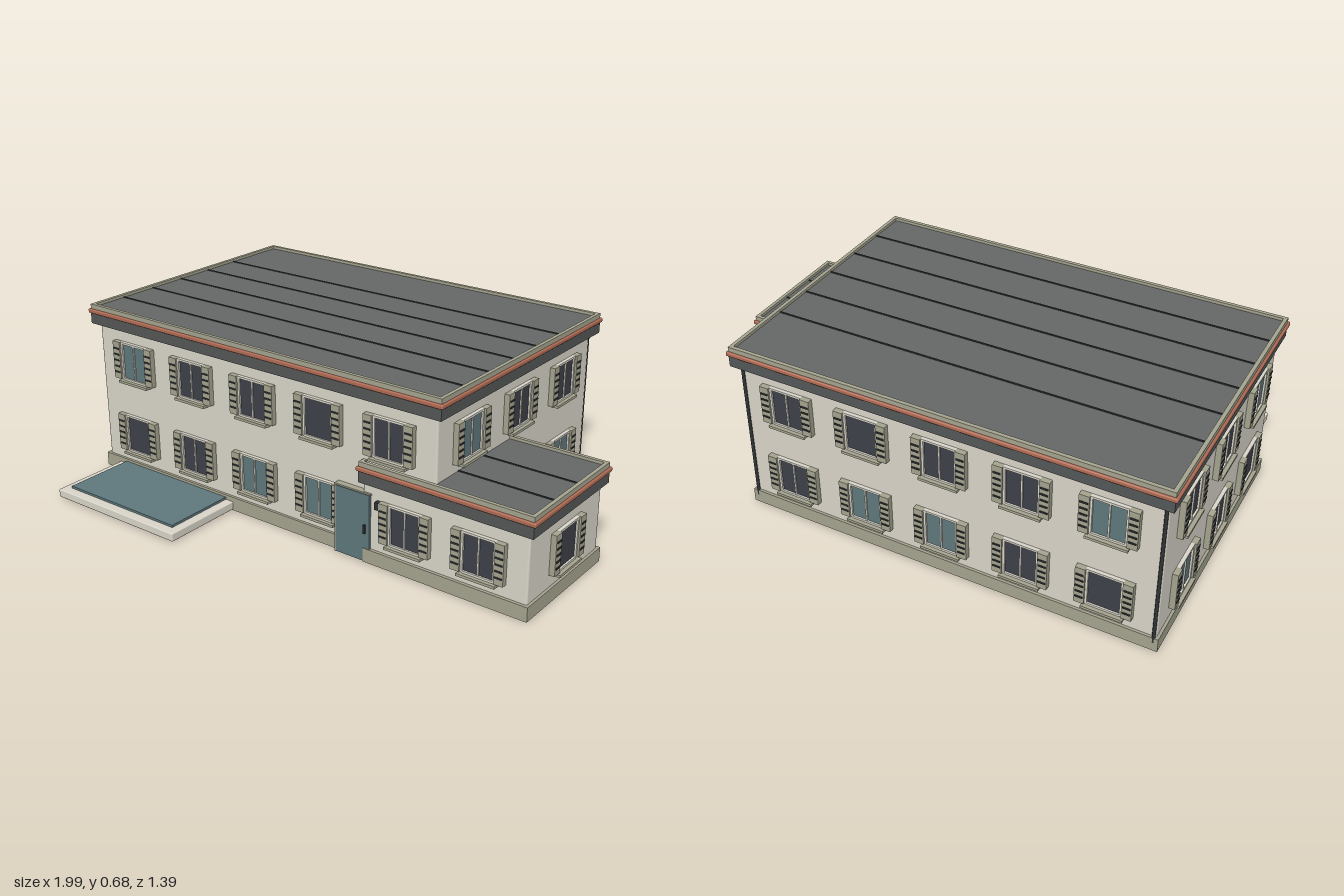
import * as THREE from 'three';
import { RoundedBoxGeometry } from 'three/addons/geometries/RoundedBoxGeometry.js';

const mat = (name, color) => {
  const m = new THREE.MeshStandardMaterial({ color });
  m.name = name;
  return m;
};

export function createModel() {
  const M = {
    wall: mat('plaster', 0xdad6ca),
    khaki: mat('khaki trim', 0xa6a590),
    roof: mat('slate grey', 0x656866),
    fascia: mat('fascia grey', 0x555858),
    clay: mat('terracotta', 0xb06b54),
    teal: mat('teal', 0x5f787c),
    glass: mat('dark glass', 0x3d4049),
    dark: mat('charcoal', 0x303335),
  };
  const model = new THREE.Group();
  model.name = 'house';

  const add = (parent, name, geometry, material) => {
    const mesh = new THREE.Mesh(geometry, material);
    mesh.name = name;
    parent.add(mesh);
    return mesh;
  };
  // Box given by its limits; r rounds the edges
  const box = (parent, name, material, x0, x1, y0, y1, z0, z1, r = 0) => {
    const size = [x1 - x0, y1 - y0, z1 - z0];
    const g = r ? new RoundedBoxGeometry(...size, 2, r) : new THREE.BoxGeometry(...size);
    const mesh = add(parent, name, g, material);
    mesh.position.set((x0 + x1) / 2, (y0 + y1) / 2, (z0 + z1) / 2);
  };
  const group = (name) => {
    const g = new THREE.Group();
    g.name = name;
    model.add(g);
    return g;
  };

  // Flat roof: fascia, terracotta band, raised rim and seams
  const roof = (name, x0, x1, z0, z1, y, seams) => {
    const g = group(name);
    box(g, 'fascia', M.fascia, x0 + 0.008, x1 - 0.008, y, y + 0.045, z0 + 0.006, z1 - 0.006);
    box(g, 'terracottaBand', M.clay, x0, x1, y + 0.042, y + 0.059, z0, z1, 0.005);
    const a = x0 + 0.008, b = x1 - 0.008, c = z0 + 0.008, d = z1 - 0.008, t = 0.014;
    box(g, 'deck', M.roof, a + 0.005, b - 0.005, y + 0.05, y + 0.066, c + 0.005, d - 0.005);
    for (const [p, q] of [[c, c + t], [d - t, d]])
      box(g, 'rim', M.khaki, a, b, y + 0.055, y + 0.077, p, q);
    for (const [p, q] of [[a, a + t], [b - t, b]])
      box(g, 'rim', M.khaki, p, q, y + 0.055, y + 0.077, c + t, d - t);
    for (const z of seams)
      box(g, 'roofSeam', M.dark, a + t, b - t, y + 0.064, y + 0.069, z - 0.003, z + 0.003);
  };

  // Shuttered window, its centre at wall level, facing +z before turning
  const windowAt = (x, y, z, turn, pane, plain) => {
    const g = group('window');
    box(g, 'pane', pane, -0.058, 0.058, -0.07, 0.07, 0, 0.007);
    for (const s of [-1, 1]) {
      const cx = s * 0.061;
      box(g, 'frameSide', M.wall, cx - 0.004, cx + 0.004, -0.075, 0.077, 0, 0.014);
      box(g, 'frameRail', M.wall, -0.057, 0.057, s * 0.073 - 0.004, s * 0.073 + 0.004, 0, 0.014);
      // Shutter with thin dark louvre lines
      const sx = s * 0.083;
      box(g, 'shutter', M.khaki, sx - 0.018, sx + 0.018, -0.073, 0.077, 0, 0.021);
      for (let i = 0; i < 5; i++) {
        const sy = -0.046 + i * 0.024;
        box(g, 'louvre', M.dark, sx - 0.014, sx + 0.014, sy - 0.003, sy + 0.003, 0.019, 0.024);
      }
    }
    if (!plain) box(g, 'mullion', M.wall, -0.003, 0.003, -0.07, 0.07, 0.004, 0.012);
    box(g, 'sill', M.khaki, -0.074, 0.074, -0.087, -0.077, 0, 0.028);
    g.position.set(x, y, z);
    g.rotation.y = turn;
  };

  // Foundation slab, plinth and walls
  box(model, 'mainSlab', M.wall, -0.979, 0.609, 0, 0.004, -0.674, 0.374);
  box(model, 'annexSlab', M.wall, 0.609, 0.974, 0, 0.004, -0.104, 0.394);
  box(model, 'mainPlinth', M.khaki, -0.98, 0.61, 0.002, 0.055, -0.675, 0.375);
  box(model, 'annexPlinth', M.khaki, 0.322, 0.975, 0.002, 0.055, -0.105, 0.395);
  box(model, 'mainWalls', M.wall, -0.97, 0.6, 0.03, 0.615, -0.665, 0.365, 0.008);
  box(model, 'annexWalls', M.wall, 0.315, 0.965, 0.03, 0.315, -0.095, 0.383, 0.008);

  roof('mainRoof', -1, 0.635, -0.698, 0.396, 0.605, [-0.41, -0.25, -0.09, 0.07, 0.228]);
  roof('annexRoof', 0.295, 0.99, -0.12, 0.402, 0.302, [0.08, 0.235]);

  // Windows: some panes are teal, in the same pattern on each face
  const low = 0.175, high = 0.477;
  const paneFor = (i, upper) => ((upper ? i === 0 : i === 2 || i === 3) ? M.teal : M.glass);
  const isPlain = (i, upper) => (upper ? i === 3 : i === 0);
  [-0.785, -0.485, -0.185, 0.115, 0.415].forEach((x, i) => {
    for (const upper of [false, true]) {
      const y = upper ? high : low;
      if (upper || i < 4) windowAt(x, y, 0.365, 0, paneFor(i, upper), isPlain(i, upper));
      windowAt(x, y, -0.665, Math.PI, paneFor(i, upper), isPlain(i, upper));
    }
  });
  [0.17, -0.15, -0.47].forEach((z, i) => {
    for (const upper of [false, true]) {
      const y = upper ? high : low;
      windowAt(-0.97, y, z, -Math.PI / 2, paneFor(i, upper), isPlain(i, upper));
      if (upper || i === 2) windowAt(0.6, y, z, Math.PI / 2, paneFor(i, upper), isPlain(i, upper));
    }
  });
  windowAt(0.495, low, 0.383, 0, M.glass, false);
  windowAt(0.785, low, 0.383, 0, M.glass, false);
  windowAt(0.785, low, -0.095, Math.PI, M.glass, false);
  windowAt(0.965, low, 0.145, Math.PI / 2, M.glass, true);

  // Front door with frame, handle and wall lamp
  const door = group('frontDoor');
  box(door, 'doorLeaf', M.teal, 0.203, 0.348, 0.004, 0.262, 0.36, 0.393);
  box(door, 'doorFrame', M.khaki, 0.196, 0.203, 0, 0.267, 0.36, 0.39);
  box(door, 'doorHead', M.khaki, 0.203, 0.352, 0.262, 0.267, 0.36, 0.39);
  box(door, 'handle', M.dark, 0.328, 0.334, 0.115, 0.148, 0.393, 0.402);
  box(door, 'lamp', M.dark, 0.376, 0.392, 0.222, 0.25, 0.383, 0.402);

  // Downpipes
  for (const [x, z, top] of [[0.592, -0.67, 0.61], [-0.962, -0.67, 0.61], [0.95, -0.1, 0.305]]) {
    const pipe = add(model, 'downpipe', new THREE.CylinderGeometry(0.006, 0.006, top - 0.035, 10), M.dark);
    pipe.position.set(x, (top + 0.035) / 2, z);
  }

  // Pool
  const pool = group('pool');
  box(pool, 'poolSurround', M.wall, -0.904, -0.3, 0.004, 0.036, 0.37, 0.696, 0.004);
  box(pool, 'water', M.teal, -0.87, -0.335, 0.036, 0.045, 0.37, 0.66);

  return model;
}
